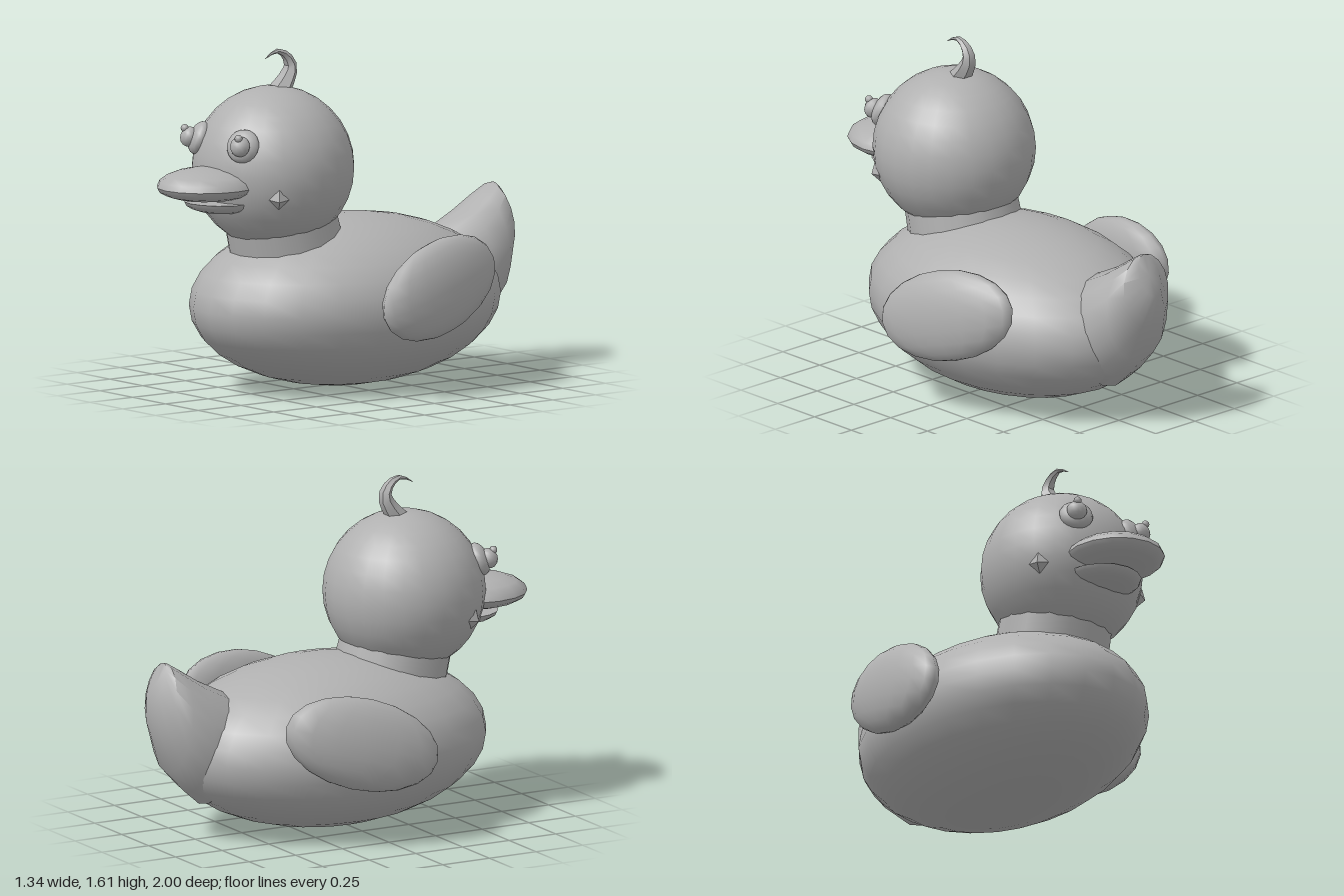
import * as THREE from 'three';
import { toCreasedNormals } from 'three/addons/utils/BufferGeometryUtils.js';

const grey = new THREE.MeshStandardMaterial({ color: 0xb0b0b0 });
grey.name = 'plain grey';

function part(name, geometry, parent) {
  const mesh = new THREE.Mesh(geometry, grey);
  mesh.name = name;
  parent.add(mesh);
  return mesh;
}

// Ellipsoid with the given centre and radii
function ellipsoid(name, parent, centre, radii, w = 20, h = 14) {
  const mesh = part(name, new THREE.SphereGeometry(1, w, h).scale(...radii), parent);
  mesh.position.set(...centre);
  return mesh;
}

// Skin over elliptical rings { c, u, v }, with both ends closed
function loft(rings, sides, crease) {
  const pos = [], idx = [];
  for (const { c, u, v } of rings) {
    for (let j = 0; j < sides; j++) {
      const a = (j / sides) * Math.PI * 2;
      const p = c.clone().addScaledVector(u, Math.cos(a)).addScaledVector(v, Math.sin(a));
      pos.push(p.x, p.y, p.z);
    }
  }
  const n = rings.length, first = n * sides, last = first + 1;
  pos.push(...rings[0].c.toArray(), ...rings[n - 1].c.toArray());
  for (let j = 0; j < sides; j++) {
    const k = (j + 1) % sides;
    for (let i = 0; i < n - 1; i++) {
      const a = i * sides, b = a + sides;
      idx.push(a + j, a + k, b + k, a + j, b + k, b + j);
    }
    idx.push(first, k, j, last, (n - 1) * sides + j, (n - 1) * sides + k);
  }
  const g = new THREE.BufferGeometry();
  g.setAttribute('position', new THREE.Float32BufferAttribute(pos, 3));
  g.setIndex(idx);
  return toCreasedNormals(g, crease);
}

export function createModel() {
  const duck = new THREE.Group();
  duck.name = 'toyDuck';
  const V = (x, y, z) => new THREE.Vector3(x, y, z);

  // Body, head and leaning neck
  ellipsoid('body', duck, [0, 0.403, -0.05], [0.575, 0.4, 0.8], 24, 16);
  const headCentre = V(0, 1.06, 0.37);
  ellipsoid('head', duck, headCentre.toArray(), [0.38, 0.38, 0.38], 24, 16);
  const neck = part('neck', new THREE.CylinderGeometry(0.26, 0.272, 0.34, 16), duck);
  neck.position.set(0, 0.77, 0.315);
  neck.rotation.x = 0.25;

  // Tail: [top y, top z, bottom y, bottom z, half width]
  const tail = [
    [0.6, -0.5, 0.22, -0.58, 0.2],
    [0.69, -0.6, 0.17, -0.73, 0.22],
    [0.76, -0.74, 0.24, -0.81, 0.22],
    [0.825, -0.84, 0.34, -0.905, 0.19],
    [0.865, -0.905, 0.52, -0.965, 0.14],
    [0.868, -0.918, 0.68, -1.0, 0.06],
  ].map(([ty, tz, by, bz, w]) => ({
    c: V(0, (ty + by) / 2, (tz + bz) / 2),
    u: V(w, 0, 0),
    v: V(0, (by - ty) / 2, (bz - tz) / 2),
  }));
  part('tail', loft(tail, 16, 0.9), duck);

  // Curled head tuft, tapering along a curve
  const curl = new THREE.CatmullRomCurve3([
    V(0, 1.41, 0.335), V(0, 1.46, 0.295), V(0, 1.52, 0.268),
    V(0, 1.575, 0.295), V(0, 1.6, 0.35), V(0, 1.568, 0.418),
  ]);
  const tuft = [];
  for (let i = 0; i <= 9; i++) {
    const t = i / 9, r = 0.06 * (1 - t) + 0.001;
    const dir = curl.getTangent(t);
    tuft.push({
      c: curl.getPoint(t),
      u: V(r, 0, 0),
      v: dir.cross(V(1, 0, 0)).multiplyScalar(r * 0.8),
    });
  }
  part('headTuft', loft(tuft, 6, 0.6), duck);

  // Bill: lens-shaped upper half, flat-topped lower half
  const upper = new THREE.SphereGeometry(1, 16, 10);
  const up = upper.attributes.position;
  for (let i = 0; i < up.count; i++) {
    const y = up.getY(i);
    up.setY(i, y * (y > 0 ? 0.09 : 0.068));
  }
  upper.scale(0.226, 1, 0.25);
  part('upperBill', toCreasedNormals(upper, 0.8), duck).position.set(0, 1.003, 0.75);

  const lower = new THREE.SphereGeometry(1, 16, 10);
  const lo = lower.attributes.position;
  for (let i = 0; i < lo.count; i++) lo.setY(i, Math.min(lo.getY(i), 0));
  lower.scale(0.182, 0.06, 0.19);
  part('lowerBill', toCreasedNormals(lower, 0.8), duck).position.set(0, 0.928, 0.66);

  // Paired parts
  for (const [side, s] of [['left', 1], ['right', -1]]) {
    const wing = ellipsoid(side + 'Wing', duck, [s * 0.553, 0.505, -0.175], [0.098, 0.215, 0.39], 16, 10);
    wing.rotation.set(0.3, s * 0.16, s * 0.1, 'ZYX');

    const eye = new THREE.Group();
    eye.name = side + 'Eye';
    duck.add(eye);
    const outward = (mesh) => mesh.lookAt(mesh.position.clone().multiplyScalar(2).sub(headCentre));
    outward(ellipsoid('eyeball', eye, [s * 0.168, 1.203, 0.675], [0.08, 0.08, 0.045], 14, 10));
    outward(ellipsoid('pupil', eye, [s * 0.194, 1.208, 0.712], [0.048, 0.048, 0.042], 12, 8));
    ellipsoid('highlight', eye, [s * 0.205, 1.248, 0.73], [0.019, 0.019, 0.019], 8, 6);

    // Faceted cheek
    const cheek = part(side + 'Cheek', new THREE.OctahedronGeometry(1).scale(0.048, 0.05, 0.03), duck);
    cheek.position.set(s * 0.303, 0.957, 0.567);
    outward(cheek);
  }

  return duck;
}
